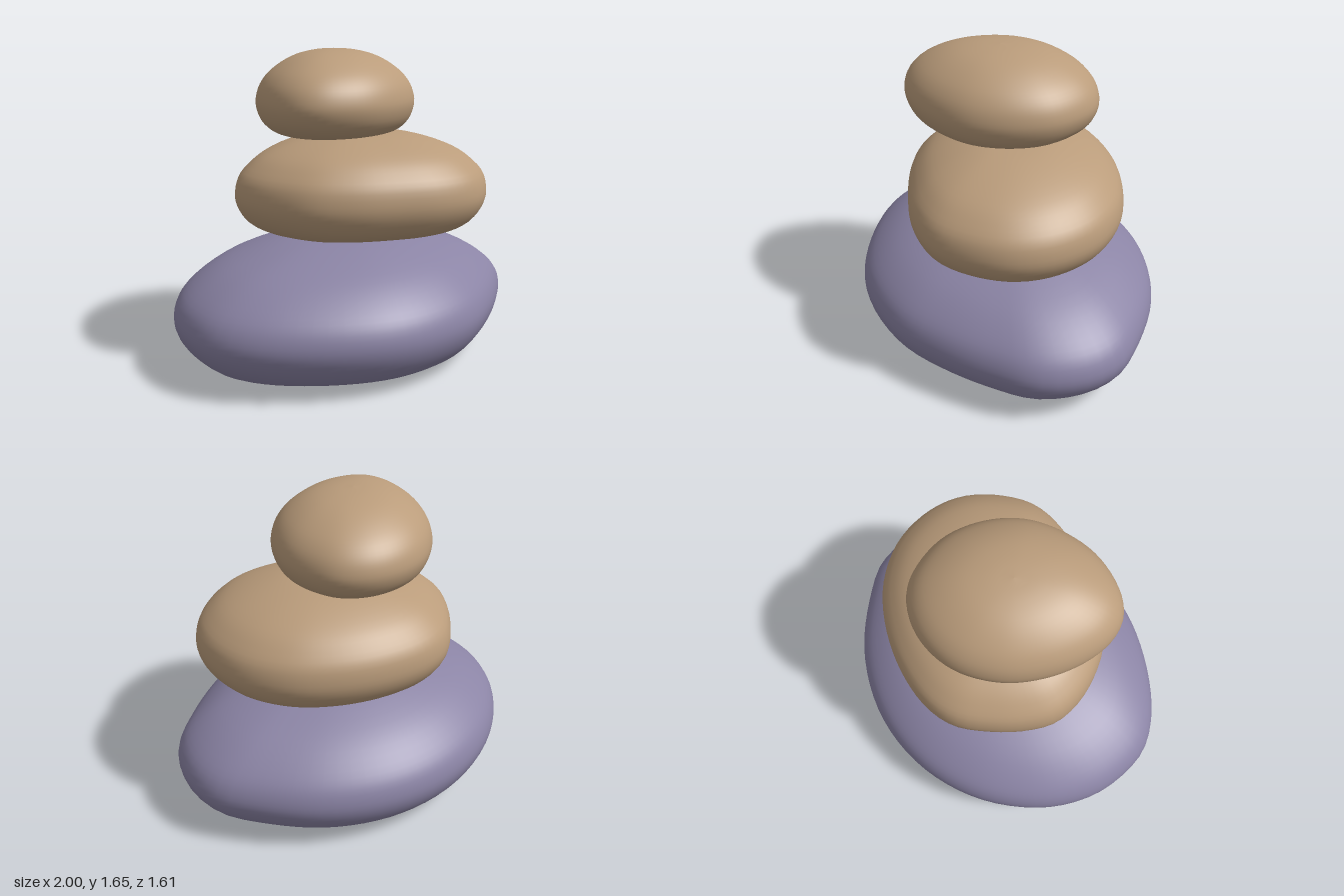
import * as THREE from 'three';

const SEGMENTS = 72;
const ROWS = 40;

// A pebble: a closed outline seen from above [x, z], scaled about its centre
// by a profile [scale, y] running from the underside to the crown.
// Faces below capHeight use the second material.
function makeStone(name, [cx, cz], outline, profile, materials, capHeight = -1) {
  const rim = new THREE.CatmullRomCurve3(
    outline.map(([x, z]) => new THREE.Vector3(x - cx, 0, z - cz)), true);
  const side = new THREE.CatmullRomCurve3(
    profile.map(([s, y]) => new THREE.Vector3(s, y, 0)));
  const ring = [];
  for (let i = 0; i < SEGMENTS; i++) ring.push(rim.getPointAt(i / SEGMENTS));

  const positions = [];
  const capFaces = [];
  const bodyFaces = [];
  for (let r = 0; r <= ROWS; r++) {
    const { x: scale, y } = side.getPoint(r / ROWS);
    for (const p of ring) positions.push(p.x * scale, y, p.z * scale);
    if (r === ROWS) break;
    const faces = y < capHeight ? capFaces : bodyFaces;
    for (let i = 0; i < SEGMENTS; i++) {
      const a = r * SEGMENTS + i;
      const b = r * SEGMENTS + (i + 1) % SEGMENTS;
      faces.push(a, b, b + SEGMENTS, a, b + SEGMENTS, a + SEGMENTS);
    }
  }

  const geometry = new THREE.BufferGeometry();
  geometry.setAttribute('position', new THREE.Float32BufferAttribute(positions, 3));
  geometry.setIndex([...bodyFaces, ...capFaces]);
  geometry.addGroup(0, bodyFaces.length, 0);
  if (capFaces.length) geometry.addGroup(bodyFaces.length, capFaces.length, 1);
  geometry.computeVertexNormals();

  const mesh = new THREE.Mesh(geometry, materials);
  mesh.name = name;
  mesh.position.set(cx, 0, cz);
  return mesh;
}

export function createModel() {
  const slate = new THREE.MeshStandardMaterial({ color: 0x8b84a5 });
  slate.name = 'slate purple';
  const sand = new THREE.MeshStandardMaterial({ color: 0xba9c7b });
  sand.name = 'sand';

  const group = new THREE.Group();
  group.name = 'stackedStones';

  // Broad base stone
  group.add(makeStone('baseStone', [0, 0],
    [[1, 0], [0.97, -0.2], [0.86, -0.36], [0.6, -0.61], [0.3, -0.76], [0, -0.81],
      [-0.3, -0.77], [-0.6, -0.63], [-0.85, -0.39], [-0.97, -0.15], [-1, 0.05],
      [-0.97, 0.27], [-0.85, 0.45], [-0.6, 0.64], [-0.3, 0.77], [-0.05, 0.8],
      [0.25, 0.75], [0.5, 0.62], [0.75, 0.43], [0.93, 0.24]],
    [[0, 0], [0.4, 0.008], [0.7, 0.025], [0.85, 0.06], [0.94, 0.13], [0.99, 0.21],
      [1, 0.28], [0.97, 0.36], [0.9, 0.43], [0.75, 0.52], [0.55, 0.59],
      [0.35, 0.635], [0.15, 0.655], [0, 0.66]],
    [slate]));

  // Middle stone, with a slate-coloured underside
  group.add(makeStone('middleStone', [0.09, 0],
    [[0.78, 0.1], [0.74, -0.15], [0.6, -0.36], [0.4, -0.5], [0.15, -0.59],
      [-0.1, -0.61], [-0.27, -0.56], [-0.42, -0.43], [-0.53, -0.29], [-0.6, -0.14],
      [-0.6, 0.01], [-0.55, 0.17], [-0.45, 0.33], [-0.27, 0.46], [-0.05, 0.55],
      [0.2, 0.61], [0.42, 0.59], [0.6, 0.47], [0.73, 0.3]],
    [[0, 0.66], [0.45, 0.664], [0.66, 0.672], [0.8, 0.697], [0.91, 0.745],
      [0.98, 0.815], [1, 0.88], [0.97, 0.97], [0.88, 1.04], [0.77, 1.095],
      [0.58, 1.15], [0.35, 1.19], [0.15, 1.203], [0, 1.206]],
    [sand, slate], 0.672));

  // Small top stone
  group.add(makeStone('topStone', [-0.08, 0],
    [[0.39, -0.05], [0.37, -0.22], [0.3, -0.36], [0.17, -0.45], [0, -0.48],
      [-0.18, -0.44], [-0.36, -0.31], [-0.48, -0.13], [-0.54, 0.06], [-0.545, 0.22],
      [-0.5, 0.34], [-0.4, 0.42], [-0.2, 0.465], [0, 0.43], [0.2, 0.32], [0.33, 0.15]],
    [[0, 1.198], [0.4, 1.202], [0.65, 1.212], [0.82, 1.235], [0.95, 1.295],
      [1, 1.37], [0.97, 1.44], [0.88, 1.505], [0.72, 1.565], [0.5, 1.615],
      [0.25, 1.642], [0, 1.65]],
    [sand]));

  return group;
}
